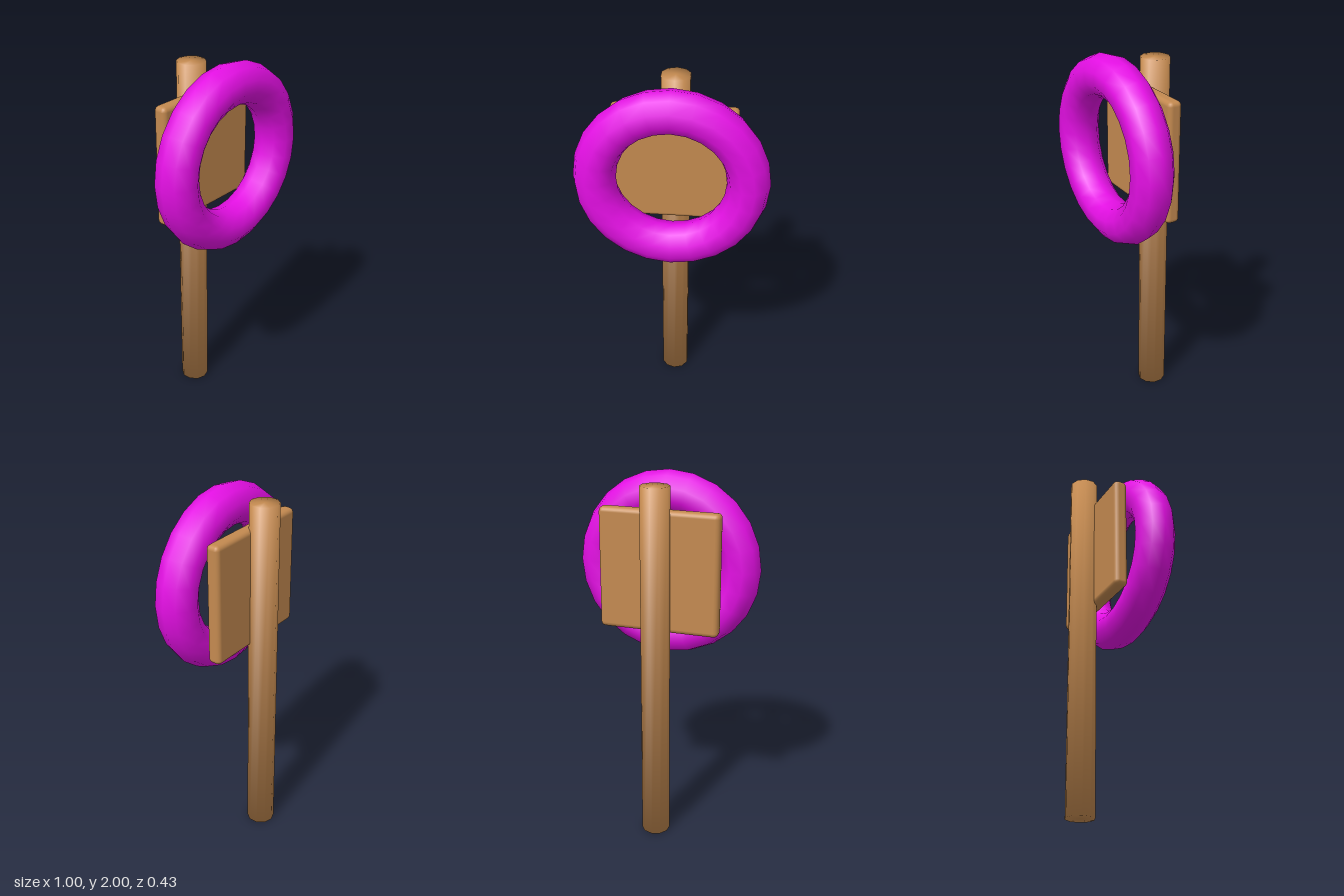
import * as THREE from 'three';
import { RoundedBoxGeometry } from 'three/addons/geometries/RoundedBoxGeometry.js';

const wood = new THREE.MeshStandardMaterial({ name: 'wood', color: 0xc48a50 });
const magenta = new THREE.MeshStandardMaterial({ name: 'magenta', color: 0xe40fe4 });

// ten-sided post whose normals blend softly over the rims
function postGeometry(radius, height) {
  const geo = new THREE.CylinderGeometry(radius, radius, height, 10);
  const pos = geo.attributes.position;
  const n = new THREE.Vector3();
  for (let i = 0; i < pos.count; i++) {
    n.set(pos.getX(i) / radius, Math.sign(pos.getY(i)) * 0.84, pos.getZ(i) / radius).normalize();
    geo.attributes.normal.setXYZ(i, n.x, n.y, n.z);
  }
  return geo;
}

export function createModel() {
  const model = new THREE.Group();
  model.name = 'ringTarget';

  const add = (name, geometry, material, y, z) => {
    const mesh = new THREE.Mesh(geometry, material);
    mesh.name = name;
    mesh.position.set(0, y, z);
    model.add(mesh);
  };

  // upright post at the back
  add('post', postGeometry(0.077, 1.96), wood, 0.98, -0.138);

  // square board with rounded edges, let into the post
  add('board', new RoundedBoxGeometry(0.65, 0.65, 0.076, 2, 0.025), wood, 1.5, -0.062);

  // ring floating in front of the board
  add('ring', new THREE.TorusGeometry(0.39, 0.11, 10, 24), magenta, 1.5, 0.108);

  return model;
}
